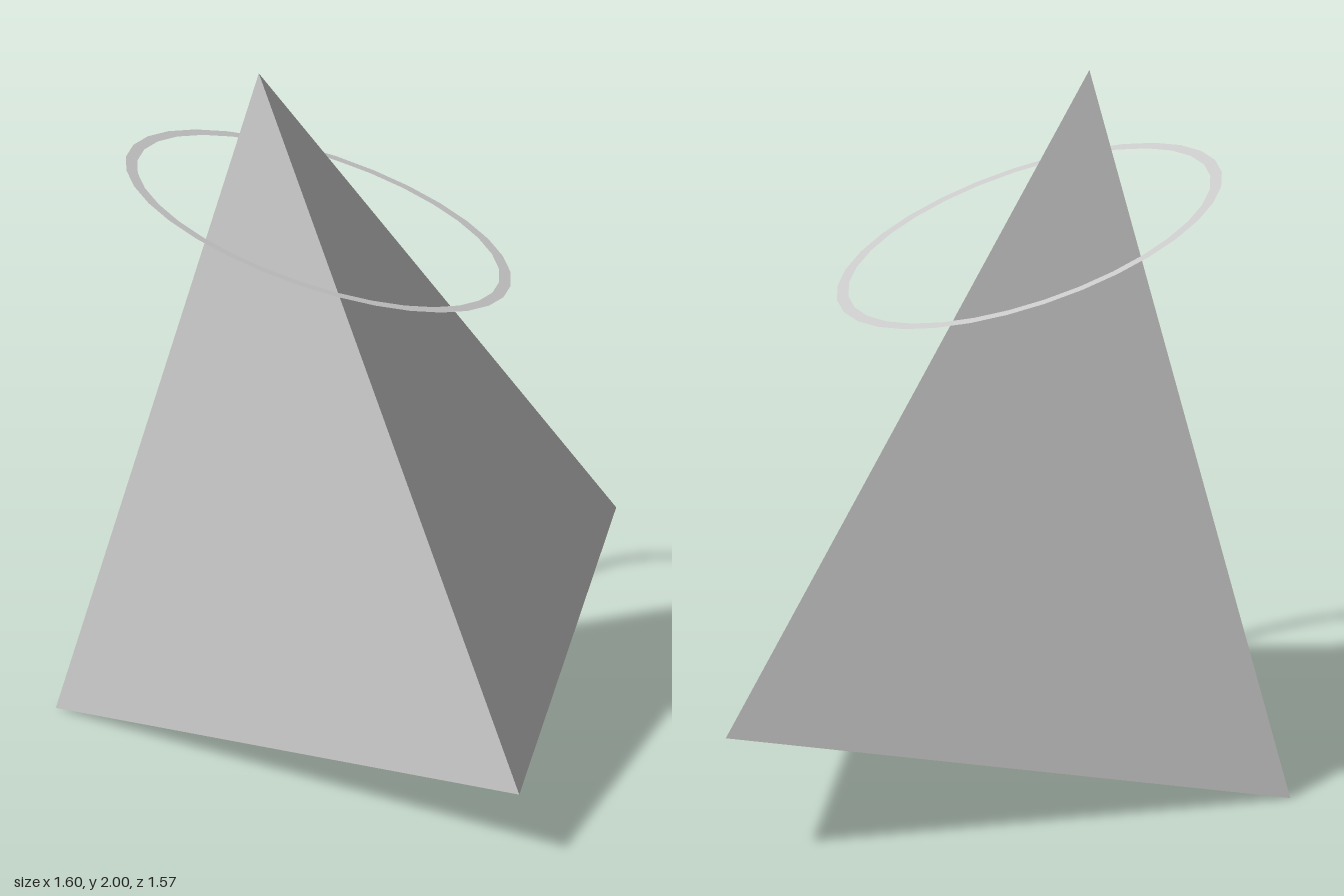
import * as THREE from 'three';
import { ConvexGeometry } from 'three/addons/geometries/ConvexGeometry.js';

export function createModel() {
  const model = new THREE.Group();
  const material = new THREE.MeshStandardMaterial({
    color: 0xcccccc, flatShading: true, side: THREE.DoubleSide,
  });

  // Tilted three-sided pyramid: apex, then the three base corners
  const corners = [
    [-0.31, 2, -0.115],
    [-0.803, 0.005, -0.5],
    [0.25, 0.197, 0.782],
    [0.8, 0.362, -0.785],
  ].map((p) => new THREE.Vector3(...p));
  const pyramid = new THREE.Mesh(new ConvexGeometry(corners), material);
  pyramid.name = 'pyramid';
  model.add(pyramid);

  // Flat thin ring passing around the upper part, tilted on its own axis
  const ring = new THREE.Mesh(new THREE.RingGeometry(0.52, 0.553, 32), material);
  ring.name = 'ring';
  const normal = new THREE.Vector3(0.325, 1, 0.018).normalize();
  ring.quaternion.setFromUnitVectors(new THREE.Vector3(0, 0, 1), normal);
  ring.position.set(-0.14, 1.54, -0.143);
  model.add(ring);

  return model;
}
